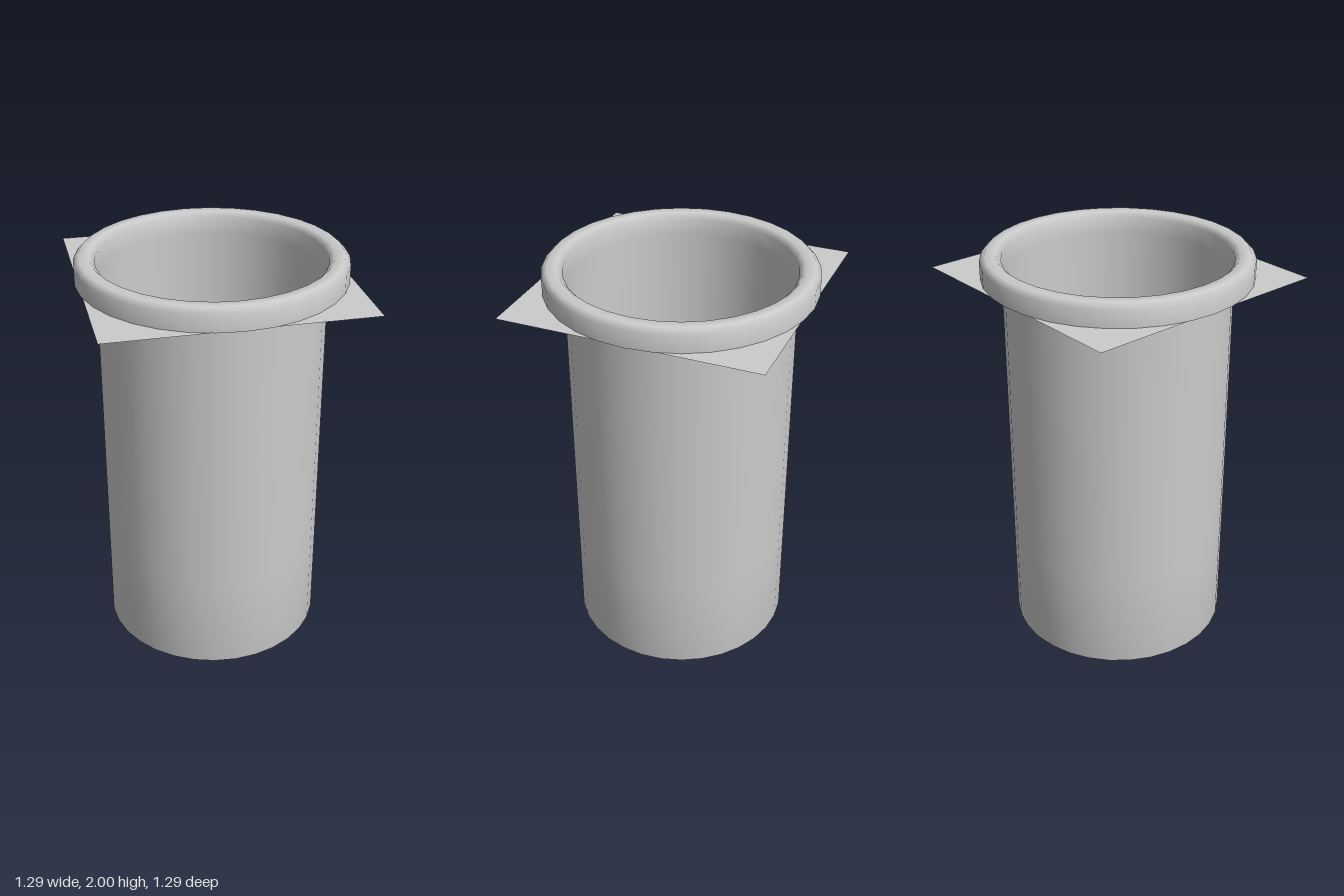
import * as THREE from 'three';

const SEGMENTS = 32;
const BORE = 0.545; // radius of the tube and of the rim's opening
const RIM_Y = 1.89; // height of the plate and of the rim's foot

export function createModel() {
  const group = new THREE.Group();
  const material = new THREE.MeshStandardMaterial({ color: 0xcccccc, side: THREE.DoubleSide });

  const add = (name, geometry) => {
    const mesh = new THREE.Mesh(geometry, material);
    mesh.name = name;
    group.add(mesh);
    return mesh;
  };
  const lathe = (points) =>
    new THREE.LatheGeometry(points.map(([r, y]) => new THREE.Vector2(r, y)), SEGMENTS);

  // Deep open tube with a closed floor, softly shaded at the bottom
  add('tube', lathe([[0, 0], [0.49, 0], [BORE, 0], [BORE, 0.5], [BORE, RIM_Y]]));

  // Rounded rim around the mouth, open underneath
  add('rim', lathe([
    [0.645, RIM_Y], [0.645, 1.975], [0.62, 2], [0.57, 2], [BORE, 1.975], [BORE, RIM_Y],
  ]));

  // Thin square plate with a round hole for the tube
  const h = 0.627;
  const square = new THREE.Shape([
    new THREE.Vector2(-h, -h), new THREE.Vector2(h, -h),
    new THREE.Vector2(h, h), new THREE.Vector2(-h, h),
  ]);
  square.holes.push(new THREE.Path().absarc(0, 0, BORE, 0, Math.PI * 2, true));
  const plate = add('plate', new THREE.ShapeGeometry(square, SEGMENTS));
  plate.rotation.x = -Math.PI / 2;
  plate.position.y = RIM_Y;

  return group;
}
